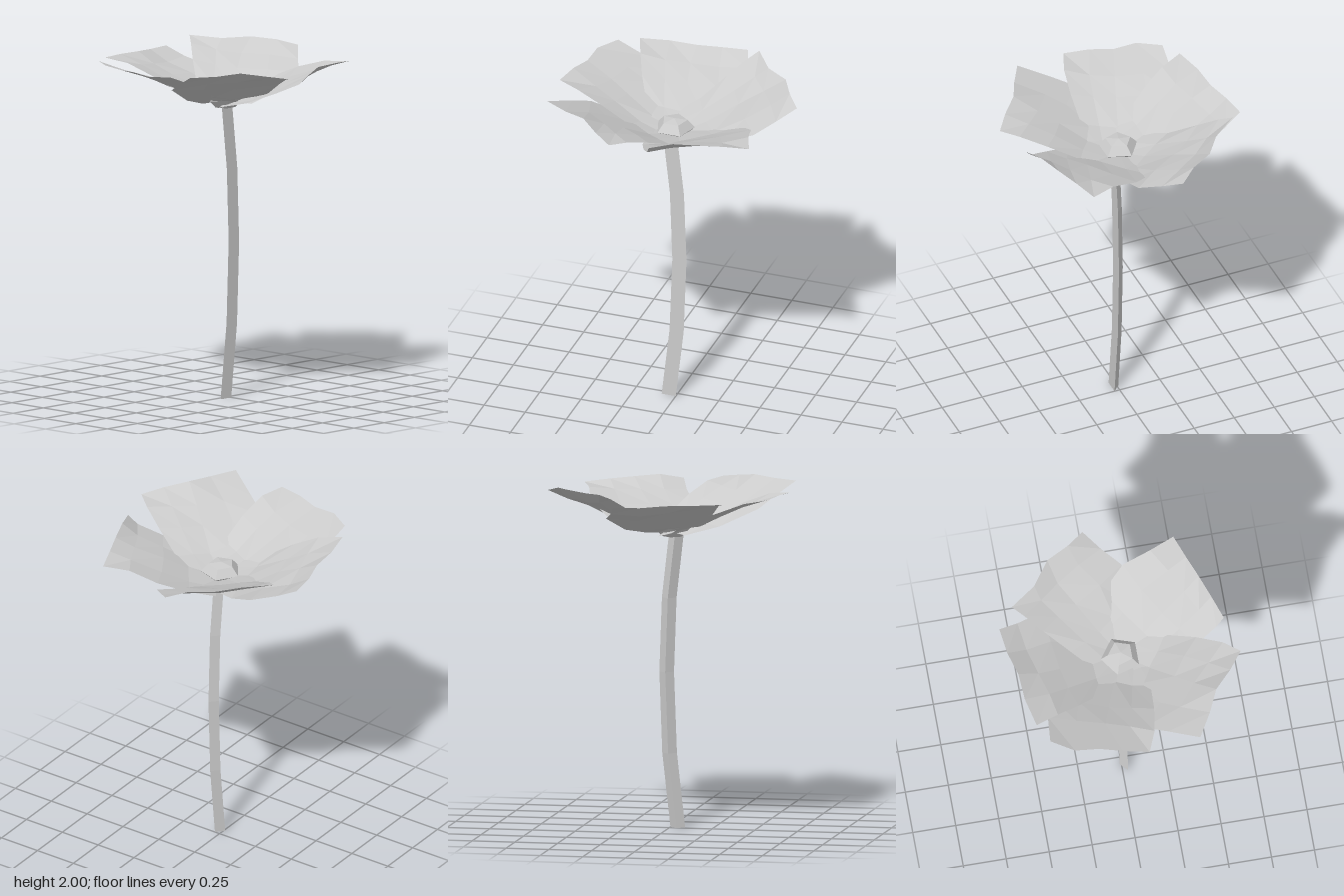
import * as THREE from 'three';

const material = new THREE.MeshStandardMaterial({ color: 0xcccccc, flatShading: true, side: THREE.DoubleSide });

// Skin a list of equal-length rows of [x, y, z] points; closed joins each row into a ring.
function loft(rows, closed = false) {
  const n = rows[0].length;
  const index = [];
  for (let r = 0; r < rows.length - 1; r++) {
    for (let i = 0; i < (closed ? n : n - 1); i++) {
      const j = (i + 1) % n;
      const a = r * n + i, b = r * n + j, c = a + n, d = b + n;
      index.push(a, b, d, a, d, c);
    }
  }
  if (closed) {
    // Fan caps on both ends
    const top = (rows.length - 1) * n;
    for (let i = 1; i < n - 1; i++) index.push(0, i + 1, i, top, top + i, top + i + 1);
  }
  const geometry = new THREE.BufferGeometry();
  geometry.setAttribute('position', new THREE.Float32BufferAttribute(rows.flat(2), 3));
  geometry.setIndex(index);
  geometry.computeVertexNormals();
  return geometry;
}

// Outer edge of each petal, from its low side to its raised side
const tips = {
  rightBackPetal: [[0.69, 1.95, -0.1], [0.61, 1.98, -0.2], [0.54, 1.99, -0.33], [0.4, 1.985, -0.43], [0.29, 2, -0.58]],
  backPetal: [[0.19, 1.94, -0.67], [0.04, 1.94, -0.65], [-0.1, 1.95, -0.61], [-0.26, 1.955, -0.6], [-0.43, 1.96, -0.56]],
  leftBackPetal: [[-0.54, 1.96, -0.5], [-0.62, 1.96, -0.37], [-0.63, 1.95, -0.23], [-0.67, 1.96, -0.1], [-0.7, 1.955, 0.05]],
  leftFrontPetal: [[-0.67, 1.98, 0.35], [-0.53, 1.98, 0.43], [-0.4, 1.99, 0.49], [-0.29, 1.97, 0.59], [-0.18, 1.95, 0.67]],
  rightFrontPetal: [[0.04, 1.94, 0.61], [0.17, 1.965, 0.56], [0.31, 1.955, 0.51], [0.44, 1.945, 0.46], [0.58, 1.93, 0.41]],
};

// Inner rows of a petal: distance along its axis, height, width of low side, width of raised side
const narrowRows = [[0, 1.72, 0.14, 0.17], [0.18, 1.757, 0.25, 0.21], [0.36, 1.838, 0.36, 0.26], [0.5, 1.893, 0.33, 0.29]];
const wideRows = [[0, 1.72, 0.18, 0.3], [0.17, 1.76, 0.24, 0.33], [0.33, 1.828, 0.27, 0.36], [0.49, 1.893, 0.28, 0.31]];

function petalGeometry(tip, petalRows, seed) {
  const first = tip[0], last = tip[4];
  const axis = new THREE.Vector2(first[0] + last[0], first[2] + last[2]).normalize();
  const rows = petalRows.map(([along, height, low, high], r) =>
    [-1, -0.5, 0, 0.5, 1].map((u, i) => {
      const side = u * (u < 0 ? low : high);
      // Cupped more on the raised side, and tilted so each petal overlaps its neighbour
      const cup = (u < 0 ? 0.15 : 0.35) * side * side + 0.015 * u;
      // Follow the height of the outer edge, with a slight ripple
      const follow = (tip[i][1] - 1.955) * r * 0.22;
      const ripple = 0.004 * Math.sin(seed * 2.1 + i * 2.4);
      const reach = along + 0.012 * Math.sin(seed + r * 1.9 + i * 1.3);
      return [axis.x * reach + axis.y * side, height + cup + follow + ripple, axis.y * reach - axis.x * side];
    }));
  return loft([...rows, tip]);
}

export function createModel() {
  const group = new THREE.Group();
  const add = (name, geometry) => {
    const mesh = new THREE.Mesh(geometry, material);
    mesh.name = name;
    group.add(mesh);
  };

  // Petals; the right front one spreads widest at its root
  Object.entries(tips).forEach(([name, tip], i) =>
    add(name, petalGeometry(tip, name === 'rightFrontPetal' ? wideRows : narrowRows, i)));

  // Bowed three-sided stem: centre x and height of each section
  const sections = [[-0.043, 0], [0.005, 0.43], [0.022, 0.9], [0.007, 1.33], [-0.037, 1.72]];
  add('stem', loft(sections.map(([x, y]) => [
    [x - 0.043, y, 0.032], [x + 0.043, y, 0.032], [x, y, -0.01],
  ]), true));

  // Five-sided seed head in the middle: radius and height of each ring
  const rings = [[0.06, 1.69], [0.117, 1.747], [0.075, 1.795], [0.005, 1.805]];
  add('seedHead', loft(rings.map(([radius, y]) =>
    Array.from({ length: 5 }, (_, i) => {
      const a = Math.PI / 2 + i * Math.PI * 0.4;
      return [-0.02 + radius * Math.cos(a), y, -radius * Math.sin(a)];
    })), true));

  return group;
}
